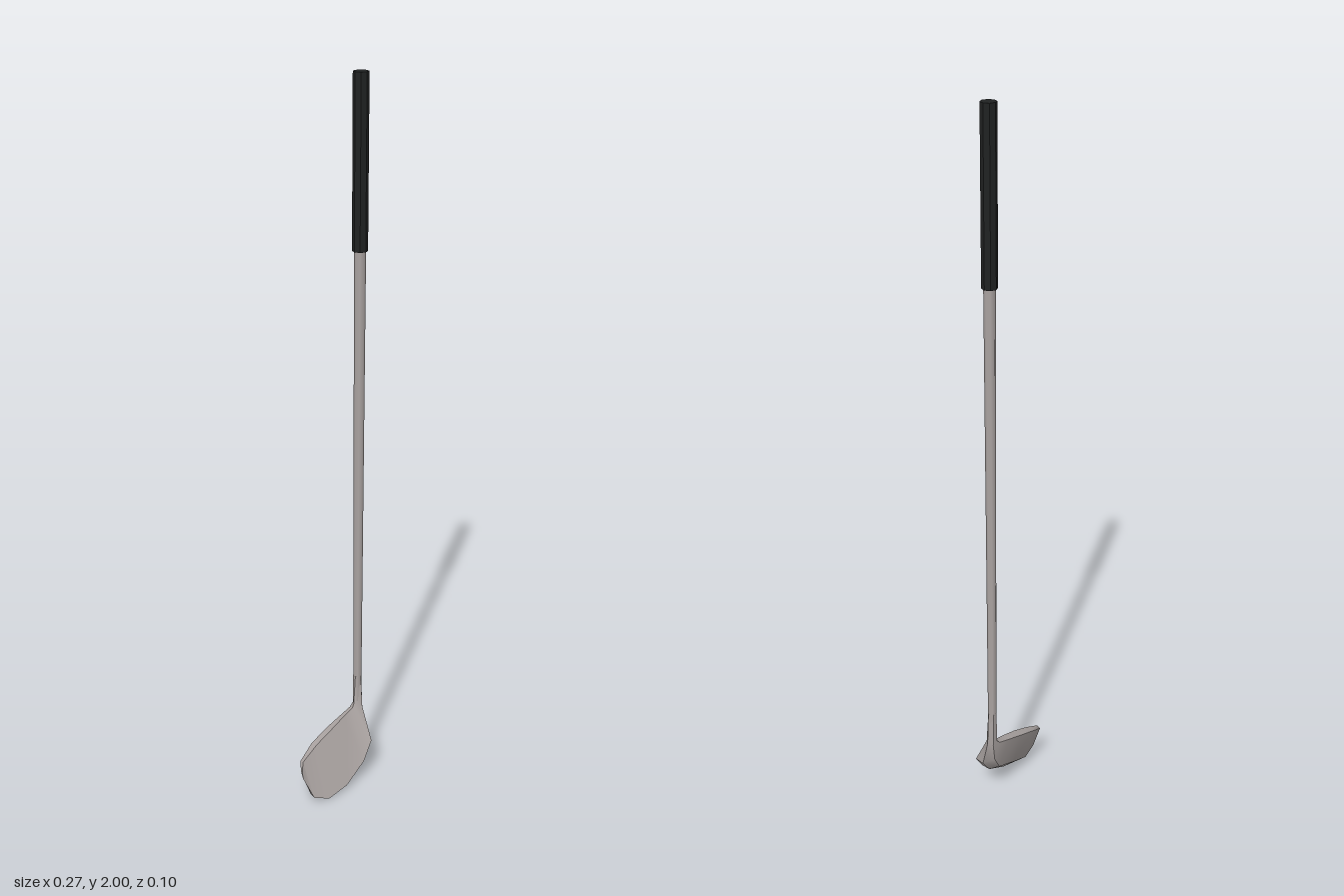
import * as THREE from 'three';
import { toCreasedNormals } from 'three/addons/utils/BufferGeometryUtils.js';

const AXIS_X = 0.112, AXIS_Z = -0.03;

// Cross-sections from toe to hosel top. Each lists five corners:
// leading edge, top front, top back, lower back, sole
const SECTIONS = [
  [[-0.135, 0.08, 0.003], [-0.133, 0.094, -0.002], [-0.128, 0.096, -0.014], [-0.129, 0.085, -0.008], [-0.131, 0.078, 0]],
  [[-0.116, 0.02, 0.028], [-0.117, 0.117, -0.017], [-0.114, 0.114, -0.03], [-0.112, 0.045, -0.008], [-0.113, 0.022, 0.01]],
  [[-0.072, 0.003, 0.043], [-0.058, 0.147, -0.021], [-0.06, 0.142, -0.042], [-0.068, 0.03, -0.012], [-0.07, 0.005, 0.016]],
  [[-0.005, 0.018, 0.047], [0, 0.17, -0.022], [0, 0.164, -0.045], [0, 0.055, -0.016], [0, 0.022, 0.018]],
  [[0.07, 0.06, 0.04], [0.055, 0.189, -0.026], [0.055, 0.182, -0.044], [0.075, 0.09, -0.026], [0.076, 0.064, 0.01]],
  [[0.108, 0.11, 0.033], [0.092, 0.2, -0.029], [0.095, 0.195, -0.043], [0.114, 0.145, -0.04], [0.118, 0.115, 0]],
  [[0.116, 0.2, -0.013], [0.097, 0.21, -0.029], [0.106, 0.207, -0.042], [0.122, 0.2, -0.041], [0.127, 0.2, -0.025]],
  [[0.114, 0.3, -0.018], [0.1, 0.3, -0.026], [0.105, 0.3, -0.04], [0.119, 0.3, -0.04], [0.124, 0.3, -0.026]],
];

// Skin the cross-sections and close both ends
function loft(sections) {
  const n = sections[0].length, last = (sections.length - 1) * n;
  const index = [];
  for (let i = 0; i < sections.length - 1; i++) {
    for (let j = 0; j < n; j++) {
      const k = (j + 1) % n;
      const a = i * n + j, b = i * n + k, c = b + n, d = a + n;
      index.push(a, d, c, a, c, b);
    }
  }
  for (let j = 1; j < n - 1; j++) {
    index.push(0, j, j + 1, last, last + j + 1, last + j);
  }
  const geometry = new THREE.BufferGeometry();
  geometry.setAttribute('position', new THREE.Float32BufferAttribute(sections.flat(2), 3));
  geometry.setIndex(index);
  return toCreasedNormals(geometry, 0.62);
}

// Octagonal rod on the club axis between two heights
function rod(rTop, rBottom, y0, y1) {
  return new THREE.CylinderGeometry(rTop, rBottom, y1 - y0, 8)
    .translate(AXIS_X, (y0 + y1) / 2, AXIS_Z);
}

export function createModel() {
  const steel = new THREE.MeshStandardMaterial({ color: 0xaaa3a1 });
  steel.name = 'brushed steel';
  const rubber = new THREE.MeshStandardMaterial({ color: 0x202222 });
  rubber.name = 'black rubber';

  const club = new THREE.Group();
  club.name = 'golfClub';
  const add = (name, geometry, material) => {
    const mesh = new THREE.Mesh(geometry, material);
    mesh.name = name;
    club.add(mesh);
  };

  // Lofted blade flowing into the hosel
  add('clubHead', loft(SECTIONS), steel);
  // Tapered shaft
  add('shaft', rod(0.0155, 0.0115, 0.22, 1.56), steel);
  // Faceted grip
  add('grip', toCreasedNormals(rod(0.0205, 0.0205, 1.55, 2), 0.5), rubber);

  return club;
}
